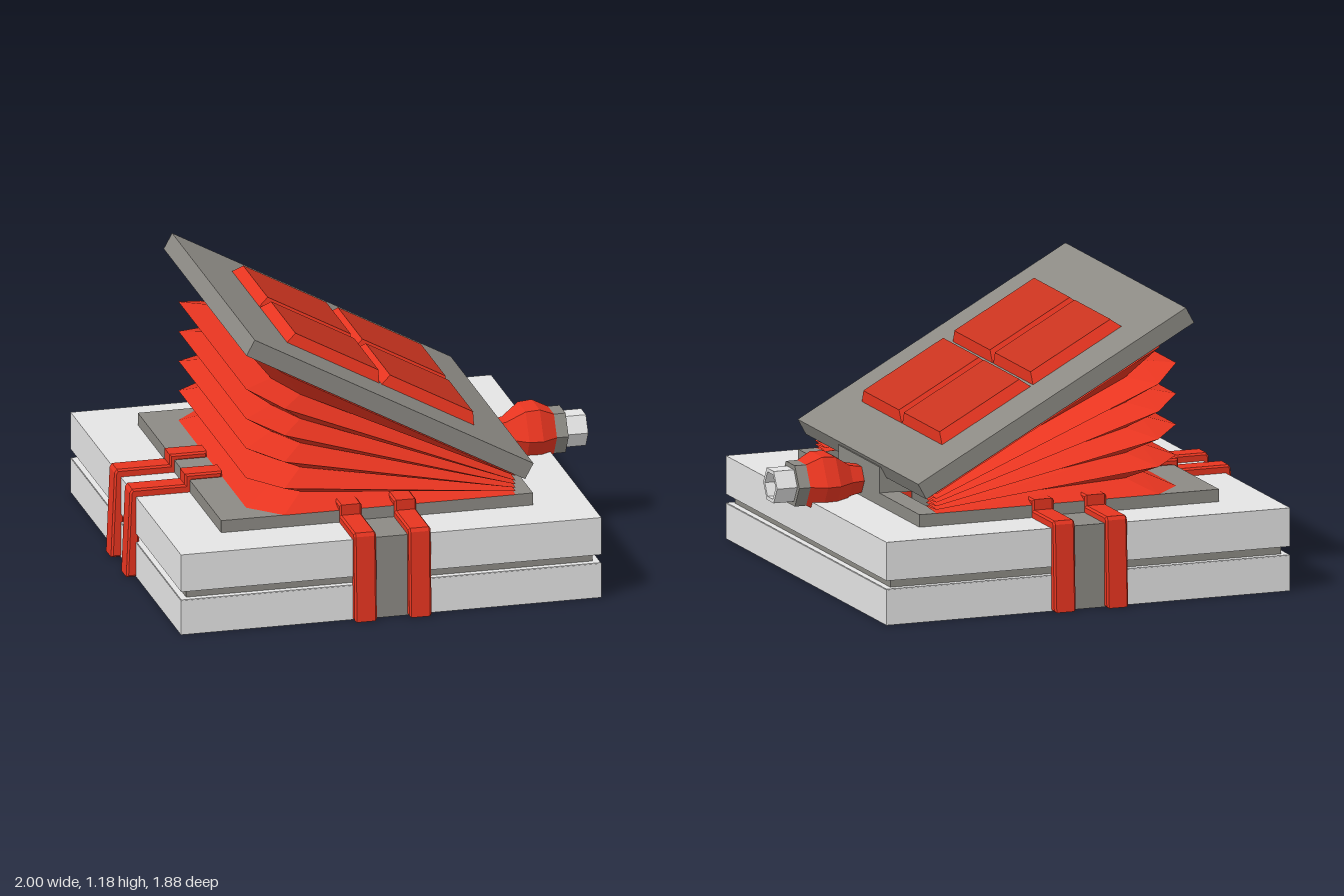
import * as THREE from 'three';

function material(name, color, side = THREE.FrontSide) {
  const m = new THREE.MeshStandardMaterial({ color, side });
  m.name = name;
  return m;
}
const red = material('red', 0xe83520, THREE.DoubleSide);
const darkRed = material('darkRed', 0xc8331f);
const grey = material('grey', 0x8c8a84);
const light = material('lightGrey', 0xe4e4e4);

// Facet a geometry so every face has its own normal
function flat(geo) {
  const g = geo.index ? geo.toNonIndexed() : geo;
  g.computeVertexNormals();
  return g;
}

function add(parent, name, geo, mat, x = 0, y = 0, z = 0) {
  const mesh = new THREE.Mesh(geo, mat);
  mesh.name = name;
  mesh.position.set(x, y, z);
  parent.add(mesh);
  return mesh;
}

// Bellows outline: starts and ends at the hinge end, corners cut by c at the tall end
const outline = (x0, x1, z, c) => [
  [x1, -z], [x0 + c, -z], [x0, c - z], [x0, z - c], [x0 + c, z], [x1, z],
];

const rect = (x0, x1, z) => [[x0, z], [x1, z], [x1, -z], [x0, -z]];
const toPoints = (list) => list.map(([x, y]) => new THREE.Vector2(x, y));

// Horizontal slab with a hole through it, from y0 to y1
function slab(outer, hole, y0, y1) {
  const shape = new THREE.Shape(toPoints(outer));
  shape.holes.push(new THREE.Path(toPoints(hole).reverse()));
  const geo = new THREE.ExtrudeGeometry(shape, { depth: y1 - y0, bevelEnabled: false });
  geo.rotateX(-Math.PI / 2);
  geo.translate(0, y0, 0);
  return geo;
}

// Rectangular ring of the base, inset from its outer faces
function ring(inset, wall, y0, y1) {
  const r = (d) => rect(-0.96 + d, 0.84 - d, 0.9 - d);
  return slab(r(inset), r(inset + wall), y0, y1);
}

// Stepped strap profile: down the wall, across the base, up onto the plate
function strap(shift) {
  const profile = [
    [0.94, 0], [0.925, 0.37], [0.915, 0.385], [0.69, 0.385], [0.69, 0.43], [0.53, 0.43],
    [0.53, 0.4], [0.655, 0.4], [0.655, 0.338], [0.885, 0.338], [0.885, 0],
  ].map(([d, y]) => [d + shift, y]);
  const geo = new THREE.ExtrudeGeometry(new THREE.Shape(toPoints(profile)), {
    depth: 0.079, bevelEnabled: true, bevelSegments: 1,
    bevelSize: 0.008, bevelThickness: 0.008, bevelOffset: -0.008,
  });
  geo.translate(0, 0, -0.0395);
  return geo;
}

// Folded bellows fanning out from the open hinge end, closed under the lid
function bellows() {
  const rows = 10, bottom = 0.405;
  const ridge = outline(-0.59, 0.53, 0.682, 0.13);
  const valley = outline(-0.46, 0.53, 0.56, 0.1);
  const pos = [], idx = [], n = ridge.length;
  for (let k = 0; k <= rows; k++) {
    const t = k === rows ? 1 : k / rows * 0.94;
    for (const [x, z] of k % 2 ? valley : ridge) {
      const top = 1.115 - 0.546 * (x + 0.62);
      pos.push(x, bottom + (top - bottom) * t, z);
    }
  }
  for (let k = 0; k < rows; k++) {
    for (let i = 0; i < n - 1; i++) {
      const a = k * n + i, b = a + 1;
      idx.push(a, b, b + n, a, b + n, a + n);
    }
  }
  for (let i = 1; i < n - 1; i++) idx.push(rows * n, rows * n + i, rows * n + i + 1);
  const geo = new THREE.BufferGeometry();
  geo.setAttribute('position', new THREE.Float32BufferAttribute(pos, 3));
  geo.setIndex(idx);
  return flat(geo);
}

// Box whose top face is drawn in to leave sloping edges
function pad(w, h, d, slope) {
  const geo = new THREE.BoxGeometry(w, h, d);
  const p = geo.attributes.position;
  for (let i = 0; i < p.count; i++) {
    if (p.getY(i) > 0) {
      p.setX(i, p.getX(i) - Math.sign(p.getX(i)) * slope);
      p.setZ(i, p.getZ(i) - Math.sign(p.getZ(i)) * slope);
    }
  }
  return flat(geo);
}

// Six-sided turned part lying along x
function hexTurned(points) {
  const geo = new THREE.LatheGeometry(toPoints(points), 6);
  geo.rotateZ(-Math.PI / 2);
  return flat(geo);
}

export function createModel() {
  const model = new THREE.Group();
  model.name = 'bellowsPump';
  const opening = outline(-0.575, 0.515, 0.665, 0.13);

  // Hollow base: two open frames with a recessed groove between
  const base = new THREE.Group();
  base.name = 'base';
  model.add(base);
  add(base, 'lowerWall', ring(0, 0.012, 0, 0.15), light);
  add(base, 'lowerLedge', ring(0.002, 0.036, 0.145, 0.153), light);
  add(base, 'groove', ring(0.03, 0.008, 0.15, 0.19), grey);
  add(base, 'upperLedge', ring(0.002, 0.036, 0.188, 0.196), light);
  add(base, 'upperWall', ring(0, 0.012, 0.19, 0.345), light);
  add(base, 'baseTop', slab(rect(-0.96, 0.84, 0.9), opening, 0.342, 0.352), light);

  // Plate under the bellows
  add(model, 'mountPlate', slab(rect(-0.73, 0.605, 0.68), opening, 0.35, 0.405), grey);

  // Straps on three sides, with grey strips between the side pairs
  for (const s of [1, -1]) {
    for (const x of [-0.177, 0.057]) {
      add(model, 'sideStrap', strap(0), red, x, 0, 0).rotation.y = -s * Math.PI / 2;
    }
    add(model, 'stripWall', new THREE.BoxGeometry(0.15, 0.354, 0.022), grey, -0.057, 0.177, s * 0.893);
    add(model, 'stripTop', new THREE.BoxGeometry(0.15, 0.018, 0.235), grey, -0.057, 0.346, s * 0.787);
    add(model, 'endStrap', strap(0.06), red, 0, 0, -0.005 + s * 0.125).rotation.y = Math.PI;
  }

  add(model, 'bellows', bellows(), red);

  // Tilted lid with four raised pads, each with a darker face
  const lid = new THREE.Group();
  lid.name = 'lid';
  lid.position.set(-0.006, 0.826, 0);
  lid.rotation.z = -0.5;
  model.add(lid);
  add(lid, 'lidBoard', new THREE.BoxGeometry(1.36, 0.075, 1.35), grey);
  for (const u of [-0.229, 0.233]) {
    for (const z of [-0.23, 0.224]) {
      add(lid, 'lidPad', pad(0.45, 0.044, 0.444, 0.022), red, u, 0.0595, z);
      add(lid, 'padFace', new THREE.BoxGeometry(0.406, 0.004, 0.4), darkRed, u, 0.0815, z);
    }
  }

  // Hinge block and six-sided nozzle
  add(model, 'hingeBlock', new THREE.BoxGeometry(0.15, 0.115, 0.46), grey, 0.53, 0.458, 0);
  const nozzle = new THREE.Group();
  nozzle.name = 'nozzle';
  nozzle.position.set(0, 0.422, 0);
  model.add(nozzle);
  add(nozzle, 'nozzleBulb', hexTurned([
    [0, 0.59], [0.06, 0.59], [0.075, 0.66], [0.13, 0.735], [0.135, 0.795], [0.1, 0.86], [0, 0.86],
  ]), red);
  add(nozzle, 'nozzleCollar', hexTurned([[0.06, 0.85], [0.1, 0.85], [0.1, 0.91], [0.06, 0.91]]), grey);
  add(nozzle, 'nozzleTip', hexTurned([[0.078, 0.9], [0.078, 1], [0.06, 1], [0.06, 0.86]]), light);

  return model;
}
